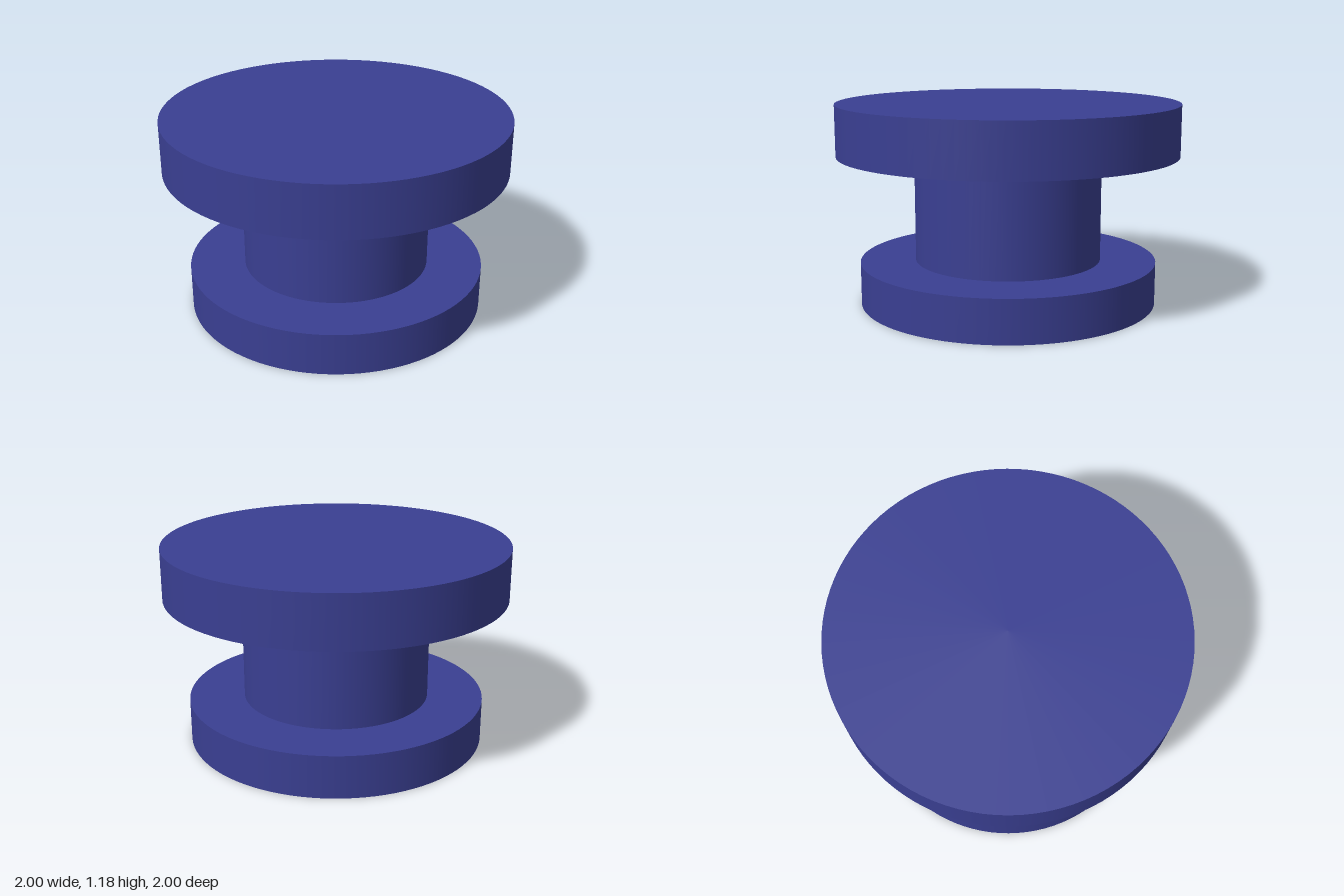
import * as THREE from 'three';

const SEGMENTS = 96;

export function createModel() {
  const group = new THREE.Group();
  group.name = 'spool';

  const blue = new THREE.MeshStandardMaterial({ color: 0x3a3f92 });
  blue.name = 'indigo blue';

  // Upright disc or drum between two heights
  const addDrum = (name, radius, bottom, top, open = false) => {
    const geometry = new THREE.CylinderGeometry(radius, radius, top - bottom, SEGMENTS, 1, open);
    const mesh = new THREE.Mesh(geometry, blue);
    mesh.name = name;
    mesh.position.y = (bottom + top) / 2;
    group.add(mesh);
  };

  addDrum('baseFlange', 0.875, 0, 0.25);
  addDrum('stem', 0.55, 0.25, 0.88, true); // ends are covered by the flanges
  addDrum('topFlange', 1, 0.88, 1.18);

  return group;
}
